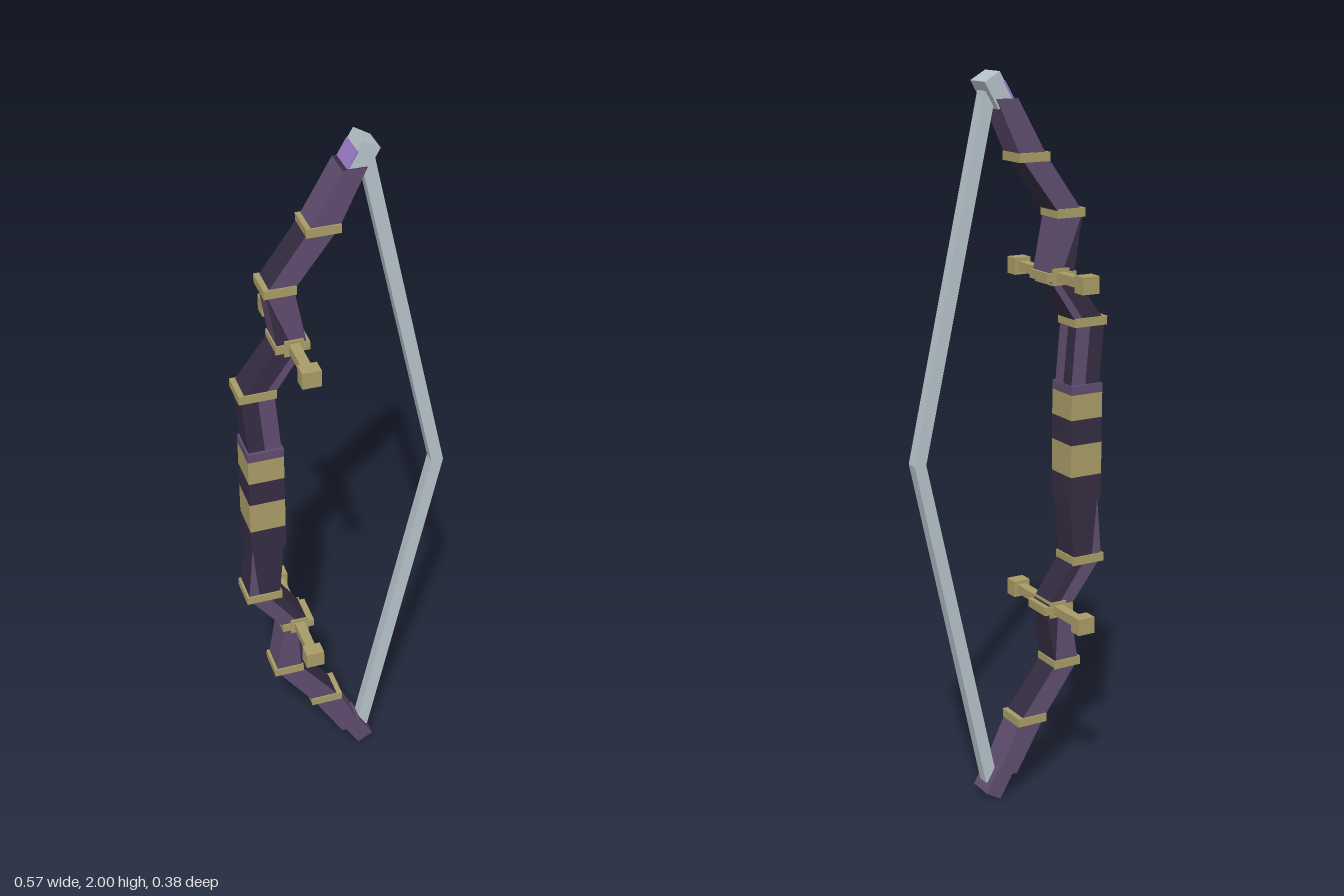
import * as THREE from 'three';

const mat = (name, color) => Object.assign(new THREE.MeshStandardMaterial({ color }), { name });

export function createModel() {
  const bow = new THREE.Group();
  bow.name = 'bow';
  const purple = mat('purple wood', 0x5f4c6e);
  const dark = mat('dark wood', 0x342c42);
  const gold = mat('old gold', 0xa89c66);
  const steel = mat('pale steel', 0xb6c2ca);
  const lilac = mat('lilac', 0x9a78c4);

  const box = (name, w, h, d, x, y, z, material, parent = bow) => {
    const m = new THREE.Mesh(new THREE.BoxGeometry(w, h, d), material);
    m.name = name;
    m.position.set(x, y, z);
    parent.add(m);
    return m;
  };

  // Four-sided limb piece between two level sections {x, y, w}.
  // Each side is split lengthwise: [left colour, right colour, split at bottom, split at top].
  const D = 0.041;
  function limb(name, a, b, sides) {
    const tris = { p: [], d: [] };
    const quad = (c, bl, br, tr, tl) => tris[c].push(...bl, ...br, ...tr, ...bl, ...tr, ...tl);
    const corners = (s) => [[-1, 1], [1, 1], [1, -1], [-1, -1]].map(([i, k]) => [s.x + i * s.w, s.y, k * D]);
    const lerp = (u, v, t) => u.map((n, i) => n + (v[i] - n) * t);
    const lo = corners(a), hi = corners(b);
    sides.forEach(([cl, cr, f0, f1], i) => {
      const j = (i + 1) % 4;
      const m0 = lerp(lo[i], lo[j], f0), m1 = lerp(hi[i], hi[j], f1);
      quad(cl, lo[i], m0, m1, hi[i]);
      quad(cr, m0, lo[j], hi[j], m1);
    });
    quad('d', lo[3], lo[2], lo[1], lo[0]);
    quad('d', hi[0], hi[1], hi[2], hi[3]);
    const g = new THREE.BufferGeometry();
    g.setAttribute('position', new THREE.Float32BufferAttribute([...tris.p, ...tris.d], 3));
    g.addGroup(0, tris.p.length / 3, 0);
    g.addGroup(tris.p.length / 3, tris.d.length / 3, 1);
    g.computeVertexNormals();
    const m = new THREE.Mesh(g, [purple, dark]);
    m.name = name;
    bow.add(m);
  }

  // Sections of the upper limb, from grip to tip; the lower limb mirrors them
  const path = [
    { x: -0.222, y: 1.16, w: 0.044 },
    { x: -0.237, y: 1.335, w: 0.044 },
    { x: -0.143, y: 1.465, w: 0.039 },
    { x: -0.172, y: 1.63, w: 0.036 },
    { x: -0.06, y: 1.78, w: 0.039 },
    { x: 0.019, y: 1.93, w: 0.031 },
  ];
  const P = ['p', 'p', 0.5, 0.5], K = ['d', 'd', 0.5, 0.5];
  const flip = ([l, r, f0, f1]) => [r, l, 1 - f0, 1 - f1];
  // [front side, string side, outer side]; the back repeats the front
  const upper = [
    [['d', 'p', 0.5, 0.5], ['p', 'd', 0.5, 0.5], K],
    [['d', 'p', 0.7, 0.7], K, K],
    [['d', 'p', 0.5, 0], P, P],
    [P, K, K],
    [P, P, P],
  ];
  const lower = [
    [['p', 'd', 0.35, 0], K, K],
    [['p', 'd', 0.6, 0.6], K, K],
    [['p', 'd', 1, 0.5], K, P],
    [P, K, P],
    [P, P, P],
  ];
  const mirror = (s) => ({ ...s, y: 2 - s.y });
  for (let i = 0; i < 5; i++) {
    const a = path[i], b = path[i + 1];
    const sides = ([front, inner, outer]) => [front, inner, flip(front), outer];
    limb('upperLimb' + i, a, b, sides(upper[i]));
    limb('lowerLimb' + i, mirror(b), mirror(a), sides(lower[i]));
  }

  // Bands over the joints, and crossbars with end knobs
  for (const up of [true, false]) {
    for (let i = 1; i < 5; i++) {
      const s = up ? path[i] : mirror(path[i]);
      box('band', 2 * s.w + 0.012, 0.024, 0.09, s.x, s.y, 0, gold);
      if (i !== 2) continue;
      box('crossbar', 0.027, 0.026, 0.32, s.x + 0.003, s.y, 0, gold);
      box('bandBlock', 0.05, 0.045, 0.092, s.x + 0.003, s.y, 0, gold);
      for (const k of [-1, 1]) box('knob', 0.05, 0.046, 0.04, s.x + 0.003, s.y, k * 0.172, gold);
    }
  }

  // Wrapped grip, bottom to top
  const wraps = [[0.84, 0.91, dark], [0.91, 1.0, gold], [1.0, 1.07, dark], [1.07, 1.14, gold], [1.14, 1.165, purple]];
  for (const [y0, y1, m] of wraps) box('grip', 0.097, y1 - y0, 0.1, -0.223, (y0 + y1) / 2, 0, m);

  // Tips
  const tip = new THREE.Group();
  tip.name = 'upperTip';
  tip.position.set(0.041, 1.951, 0);
  tip.rotation.z = -Math.PI / 6;
  bow.add(tip);
  box('tipCap', 0.05, 0.08, 0.075, 0, 0, 0, steel, tip);
  box('tipInlay', 0.006, 0.05, 0.076, -0.024, -0.013, 0, lilac, tip);
  const end = box('lowerTip', 0.05, 0.085, 0.075, 0.04, 0.051, 0, purple);
  end.rotation.z = Math.PI / 6;

  // Drawn string
  const shape = new THREE.Shape([
    [0.04, 0.06], [0.074, 0.05], [0.283, 1], [0.074, 1.95], [0.04, 1.94], [0.249, 1],
  ].map(([x, y]) => new THREE.Vector2(x, y)));
  const g = new THREE.ExtrudeGeometry(shape, { depth: 0.034, bevelEnabled: false });
  g.translate(0, 0, -0.017);
  const string = new THREE.Mesh(g, steel);
  string.name = 'string';
  bow.add(string);
  return bow;
}
